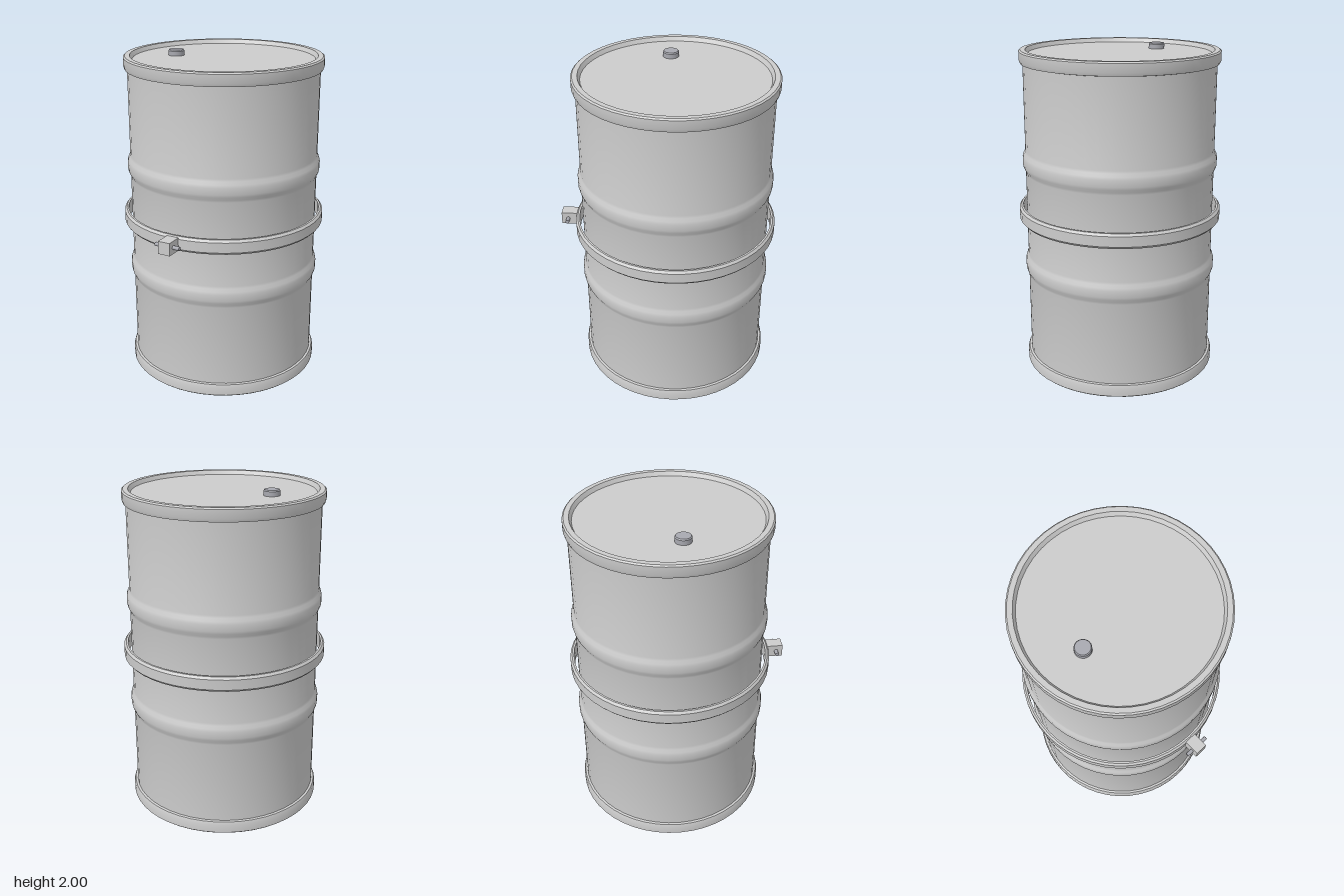
import * as THREE from 'three';
import { toCreasedNormals } from 'three/addons/utils/BufferGeometryUtils.js';

export function createModel() {
  const group = new THREE.Group();
  const grey = new THREE.MeshStandardMaterial({ color: 0xcccccc });
  const plugGrey = new THREE.MeshStandardMaterial({ color: 0xa8a9b0 });
  const axisZ = -0.046; // the drum sits back so that the clamp fits in front
  const midY = 0.995;

  const add = (name, geometry, x, y, z, material = grey) => {
    const mesh = new THREE.Mesh(geometry, material);
    mesh.name = name;
    mesh.position.set(x, y, z);
    group.add(mesh);
    return mesh;
  };
  const lathe = (profile, sides) => toCreasedNormals(
    new THREE.LatheGeometry(profile.map(([r, y]) => new THREE.Vector2(r, y)), sides), 0.5);

  // Drum shell: recessed end, chime and rolling hoop, mirrored about mid height
  const half = [
    [0, 0.025], [0.546, 0.025], [0.56, 0], [0.59, 0], [0.599, 0.008],
    [0.599, 0.058], [0.592, 0.077], [0.578, 0.08],
    [0.578, 0.595], [0.582, 0.61], [0.591, 0.628], [0.595, 0.645],
    [0.595, 0.685], [0.591, 0.702], [0.582, 0.72], [0.578, 0.735],
  ];
  const mirrored = half.map(([r, y]) => [r, 2 * midY - y]).reverse();
  add('drumShell', lathe([...half, ...mirrored], 48), 0, 0, axisZ);

  // Loose clamping ring with bevelled outer edges
  add('clampRing', lathe([
    [0.6, -0.045], [0.612, -0.045], [0.624, -0.031], [0.624, 0.031],
    [0.612, 0.045], [0.6, 0.045], [0.6, -0.045],
  ], 48), 0, 0.998, axisZ);

  // Clamp lug and its cross bolt
  add('clampLug', new THREE.BoxGeometry(0.076, 0.078, 0.098), 0, 0.998, 0.622);
  const bolt = add('clampBolt', new THREE.CylinderGeometry(0.012, 0.012, 0.16, 12), 0, 0.998, 0.63, plugGrey);
  bolt.rotation.z = Math.PI / 2;

  // Filler plug on the lid
  add('fillerPlug', lathe([
    [0, -0.04], [0.048, -0.04], [0.048, -0.007], [0.043, 0], [0, 0],
  ], 24), -0.302, 2, 0, plugGrey);

  return group;
}
